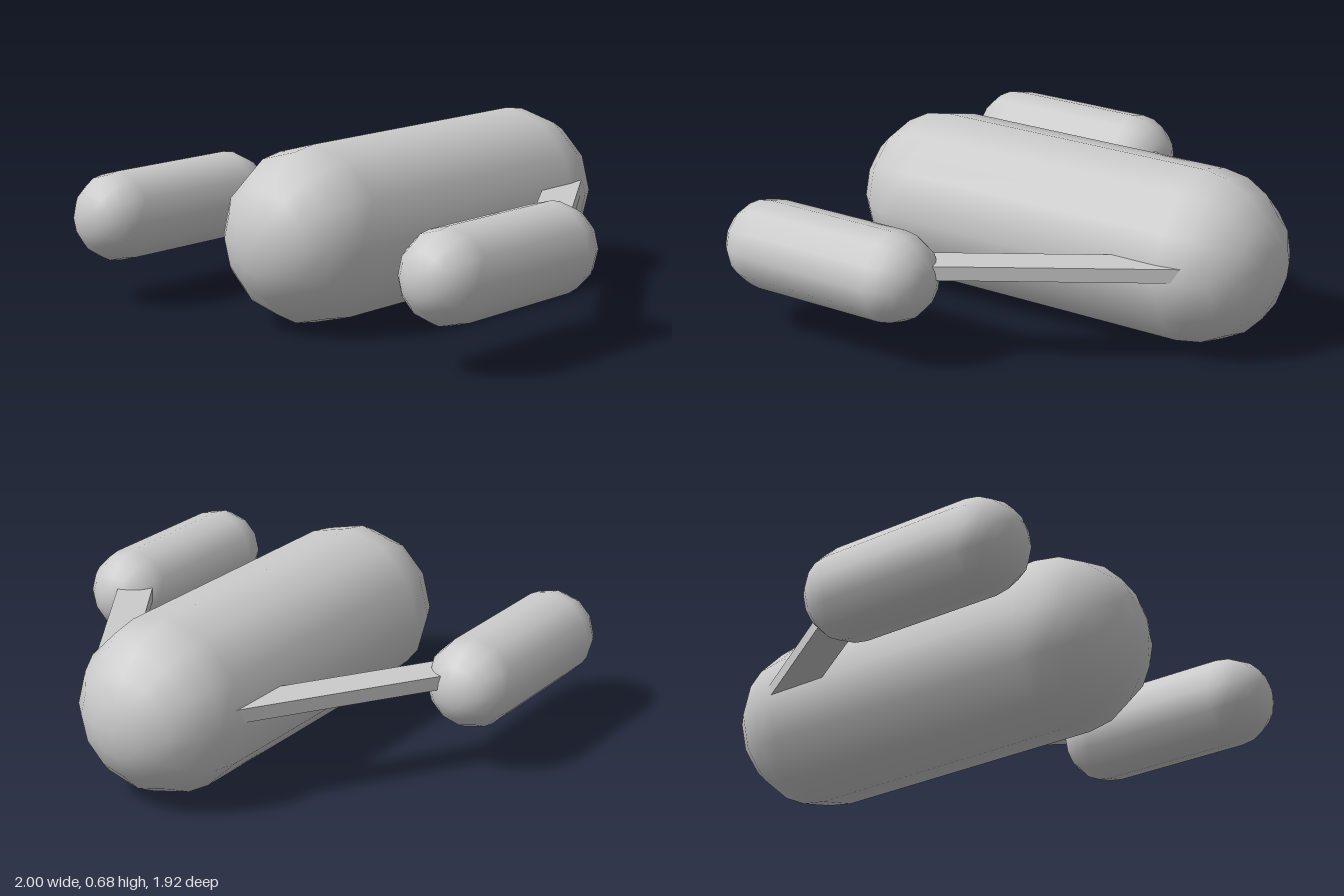
import * as THREE from 'three';

const material = new THREE.MeshStandardMaterial({ color: 0xcccccc });

// Capsule lying along z between two tips
function capsule(name, radius, x, y, zBack, zFront) {
  const geometry = new THREE.CapsuleGeometry(radius, zFront - zBack - 2 * radius, 5, 12);
  geometry.rotateX(Math.PI / 2);
  const mesh = new THREE.Mesh(geometry, material);
  mesh.name = name;
  mesh.position.set(x, y, (zBack + zFront) / 2);
  return mesh;
}

// Flat bar between two points in the horizontal plane
function strut(name, y, x0, z0, x1, z1) {
  const length = Math.hypot(x1 - x0, z1 - z0);
  const mesh = new THREE.Mesh(new THREE.BoxGeometry(0.142, 0.055, length), material);
  mesh.name = name;
  mesh.position.set((x0 + x1) / 2, y, (z0 + z1) / 2);
  mesh.rotation.y = Math.atan2(x1 - x0, z1 - z0);
  return mesh;
}

export function createModel() {
  const model = new THREE.Group();
  model.name = 'model';

  // Central hull
  model.add(capsule('hull', 0.34, -0.007, 0.345, -0.965, 0.895));

  // Outboard pods, each on a strut swept forward from the hull
  for (const [side, s, shift] of [['left', 1, 0], ['right', -1, 0.035]]) {
    model.add(capsule(side + 'Pod', 0.177, s * 0.822, 0.345, 0.025, 0.96));
    model.add(strut(side + 'Strut', 0.378, s * 0.2, -0.75 + shift, s * 0.8, 0.2 + shift));
  }
  return model;
}
